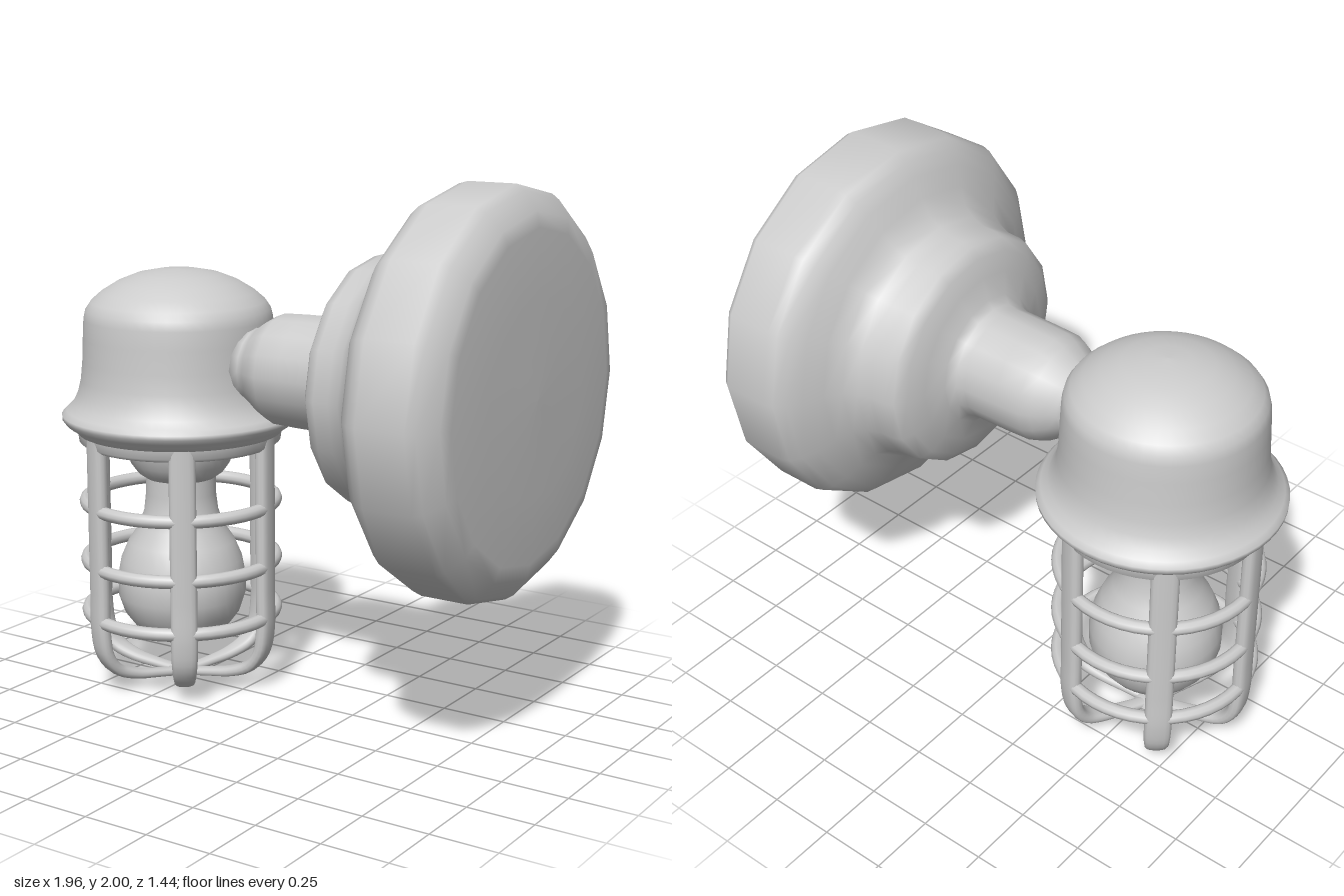
import * as THREE from 'three';
import { ParametricGeometry } from 'three/addons/geometries/ParametricGeometry.js';

const material = new THREE.MeshStandardMaterial({ color: 0xcccccc });
const LAMP_X = -0.535;

function addMesh(parent, name, geometry) {
  const mesh = new THREE.Mesh(geometry, material);
  mesh.name = name;
  parent.add(mesh);
  return mesh;
}

// Revolve [radius, height] pairs, listed bottom to top
function lathe(profile, segments) {
  return new THREE.LatheGeometry(profile.map(([r, y]) => new THREE.Vector2(r, y)), segments);
}

// Flattened oval bar swept down a curve in the xy plane, narrowing near its end
function cageBar(points) {
  const curve = new THREE.CatmullRomCurve3(points.map(([r, y]) => new THREE.Vector3(r, y, 0)), false, 'centripetal');
  const sweep = (u, v, target) => {
    const p = curve.getPointAt(v), t = curve.getTangentAt(v), a = u * Math.PI * 2;
    const squash = (c) => Math.sign(c) * Math.pow(Math.abs(c), 0.7);
    const taper = THREE.MathUtils.smoothstep(v, 0.62, 0.95);
    const depth = squash(Math.cos(a)) * THREE.MathUtils.lerp(0.027, 0.016, taper);
    const width = squash(Math.sin(a)) * THREE.MathUtils.lerp(0.05, 0.025, taper);
    target.set(p.x - t.y * depth, p.y + t.x * depth, width);
  };
  return new ParametricGeometry(sweep, 16, 48);
}

export function createModel() {
  const model = new THREE.Group();
  model.name = 'wallLamp';

  // Wall mount and arm, revolved about the horizontal axis
  const mount = addMesh(model, 'wallMount', lathe([
    [0, -0.24], [0.15, -0.22], [0.14, -0.17], [0.16, -0.135], [0.19, -0.09], [0.206, -0.05],
    [0.21, 0.05], [0.212, 0.19], [0.22, 0.225], [0.25, 0.25], [0.33, 0.275], [0.40, 0.297],
    [0.44, 0.325], [0.45, 0.36], [0.453, 0.42], [0.47, 0.47], [0.50, 0.515], [0.56, 0.55],
    [0.63, 0.585], [0.68, 0.62], [0.71, 0.655], [0.72, 0.69], [0.72, 0.87], [0.70, 0.90],
    [0.635, 0.95], [0.58, 0.96], [0.35, 0.97], [0, 0.975],
  ], 16));
  mount.rotation.z = -Math.PI / 2;
  mount.position.y = 1.28;

  const lamp = new THREE.Group();
  lamp.name = 'lamp';
  lamp.position.x = LAMP_X;
  model.add(lamp);

  // Domed housing with flared rim
  addMesh(lamp, 'housing', lathe([
    [0, 0.985], [0.33, 0.985], [0.385, 0.99], [0.40, 1.01], [0.43, 1.03], [0.447, 1.05], [0.448, 1.067],
    [0.43, 1.085], [0.405, 1.11], [0.385, 1.15], [0.373, 1.20], [0.366, 1.27], [0.362, 1.36],
    [0.358, 1.43], [0.35, 1.465], [0.33, 1.495], [0.29, 1.53], [0.23, 1.567], [0.16, 1.595],
    [0.08, 1.611], [0, 1.615],
  ], 48));

  // Bulb and its socket
  addMesh(lamp, 'bulb', lathe([
    [0, 0.145], [0.06, 0.152], [0.12, 0.175], [0.18, 0.22], [0.225, 0.28], [0.248, 0.35],
    [0.248, 0.42], [0.235, 0.49], [0.205, 0.56], [0.165, 0.62], [0.143, 0.68], [0.135, 0.75], [0.135, 0.86],
  ], 32));
  addMesh(lamp, 'socket', lathe([
    [0, 0.81], [0.13, 0.81], [0.165, 0.835], [0.19, 0.87], [0.21, 0.92], [0.225, 1.0],
  ], 32));

  // Guard cage: collar, rings, curved bars and bottom hub
  const cage = new THREE.Group();
  cage.name = 'guardCage';
  lamp.add(cage);
  addMesh(cage, 'cageCollar', lathe([
    [0.335, 1.0], [0.335, 0.97], [0.345, 0.952], [0.37, 0.952], [0.385, 0.965], [0.39, 1.0],
  ], 48));
  for (const y of [0.29, 0.495, 0.725]) {
    const ring = addMesh(cage, 'cageRing', new THREE.TorusGeometry(0.365, 0.025, 10, 48));
    ring.rotation.x = Math.PI / 2;
    ring.position.y = y;
  }
  const barGeometry = cageBar([
    [0.363, 1.0], [0.363, 0.7], [0.363, 0.4], [0.362, 0.24], [0.345, 0.15],
    [0.30, 0.09], [0.22, 0.055], [0.12, 0.037], [0, 0.022],
  ]);
  for (let i = 0; i < 6; i++) {
    addMesh(cage, 'cageBar', barGeometry).rotation.y = THREE.MathUtils.degToRad(7.8 + i * 60);
  }
  addMesh(cage, 'cageHub', lathe([
    [0, 0], [0.035, 0.002], [0.06, 0.014], [0.068, 0.028], [0.05, 0.042], [0, 0.047],
  ], 24));

  return model;
}
